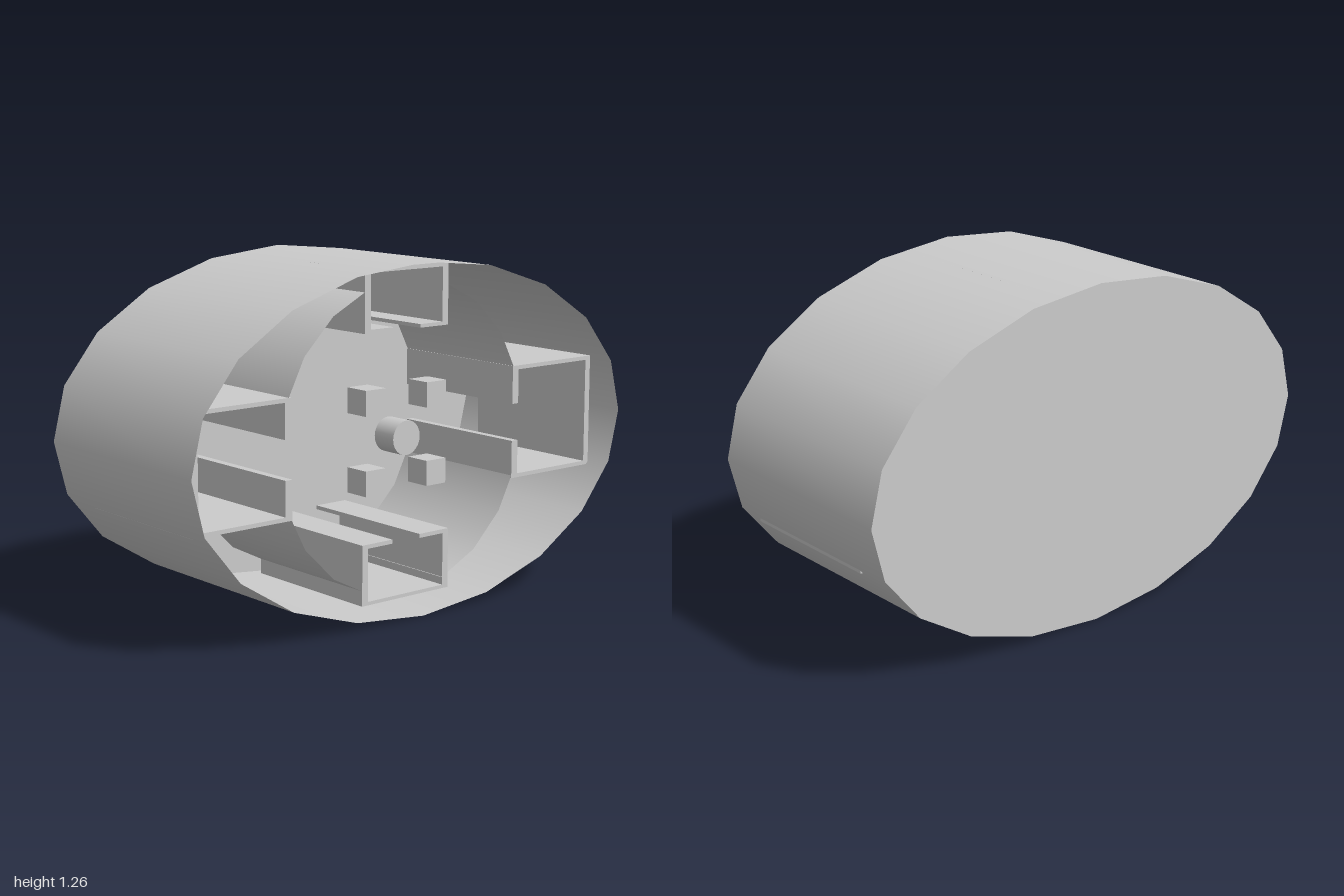
import * as THREE from 'three';

const CY = 0.6325;           // height of the axis
const HALF = 0.4175;         // half width of the housing
const BACK = -0.27, FRONT = 0.32; // extent of the inner parts along x
const SIDES = 20;

const material = new THREE.MeshStandardMaterial({ color: 0xcccccc, side: THREE.DoubleSide });

function add(parent, name, geometry) {
  const mesh = new THREE.Mesh(geometry, material);
  mesh.name = name;
  parent.add(mesh);
  return mesh;
}

// Tube wall along x, optionally only an arc of it
function wall(radius, x0, x1, segments = SIDES, start = 0, length = Math.PI * 2) {
  return new THREE.CylinderGeometry(radius, radius, x1 - x0, segments, 1, true, start, length)
    .rotateZ(-Math.PI / 2).translate((x0 + x1) / 2, 0, 0);
}

function disc(radius, x, facing = 1) {
  return new THREE.CircleGeometry(radius, SIDES).rotateY(facing * Math.PI / 2).translate(x, 0, 0);
}

// C-shaped rail, back wall at the top and slot at the bottom, extruded along x
function railGeometry({ width, depth, side, back, lip, gap }) {
  const w = width / 2, d = depth / 2, g = gap / 2;
  const half = [[g, -d], [w, -d], [w, d]];
  const inner = [[w - side, d - back], [w - side, -d + lip], [g, -d + lip]];
  const mirror = (pts) => pts.map(([u, v]) => [-u, v]).reverse();
  const points = [...half, ...mirror(half), ...mirror(inner), ...inner];
  // outer path, then back along the inside
  const outline = [
    ...points.slice(0, 6),
    ...inner.slice().reverse().map(([u, v]) => [-u, v]),
    ...inner,
  ];
  const shape = new THREE.Shape(outline.map(([u, v]) => new THREE.Vector2(u, v)));
  return new THREE.ExtrudeGeometry(shape, { depth: FRONT - BACK, bevelEnabled: false })
    .rotateY(Math.PI / 2).translate(BACK, 0, 0);
}

export function createModel() {
  const model = new THREE.Group();
  model.name = 'ovalHousing';
  const body = new THREE.Group();
  body.name = 'body';
  body.position.y = CY;
  model.add(body);

  // Oval shell, open on +x and closed on -x
  add(body, 'outerShell', wall(1, -HALF, HALF).scale(1, CY, 1));
  add(body, 'closedEnd', disc(1, -HALF, -1).scale(1, CY, 1));

  // Round inner drum: floor and four wall arcs between the rails
  add(body, 'drumFloor', disc(0.57, BACK));
  for (let i = 0; i < 4; i++) {
    const start = THREE.MathUtils.degToRad(18 + 90 * i);
    add(body, 'drumWall', wall(0.57, BACK, FRONT, 3, start, THREE.MathUtils.degToRad(54)));
  }

  // Slotted rails facing the axis
  const large = { width: 0.425, depth: 0.415, side: 0.015, back: 0.025, lip: 0.03, gap: 0.14 };
  const upper = { width: 0.39, depth: 0.225, side: 0.027, back: 0.015, lip: 0.013, gap: 0.125 };
  const lower = { width: 0.41, depth: 0.222, side: 0.027, back: 0.013, lip: 0.015, gap: 0.13 };
  const rails = [
    ['topRail', upper, 1.133, 0, 0],
    ['bottomRail', lower, 0.16, 0, Math.PI],
    ['frontRail', large, 0.6225, 0.7225, Math.PI / 2],
    ['backRail', large, 0.6245, -0.7325, -Math.PI / 2],
  ];
  for (const [name, size, y, z, turn] of rails) {
    const rail = add(body, name, railGeometry(size));
    rail.position.set(0, y - CY, z);
    rail.rotation.x = turn;
  }

  // Centre pin and four square studs
  add(body, 'centrePin', new THREE.CylinderGeometry(0.063, 0.063, 0.1, 24)
    .rotateZ(-Math.PI / 2).translate(FRONT - 0.05, 0, 0));
  for (const y of [-0.143, 0.143]) {
    for (const z of [-0.143, 0.143]) {
      add(body, 'squareStud', new THREE.BoxGeometry(0.1, 0.092, 0.092))
        .position.set(FRONT - 0.05, y, z);
    }
  }
  return model;
}
